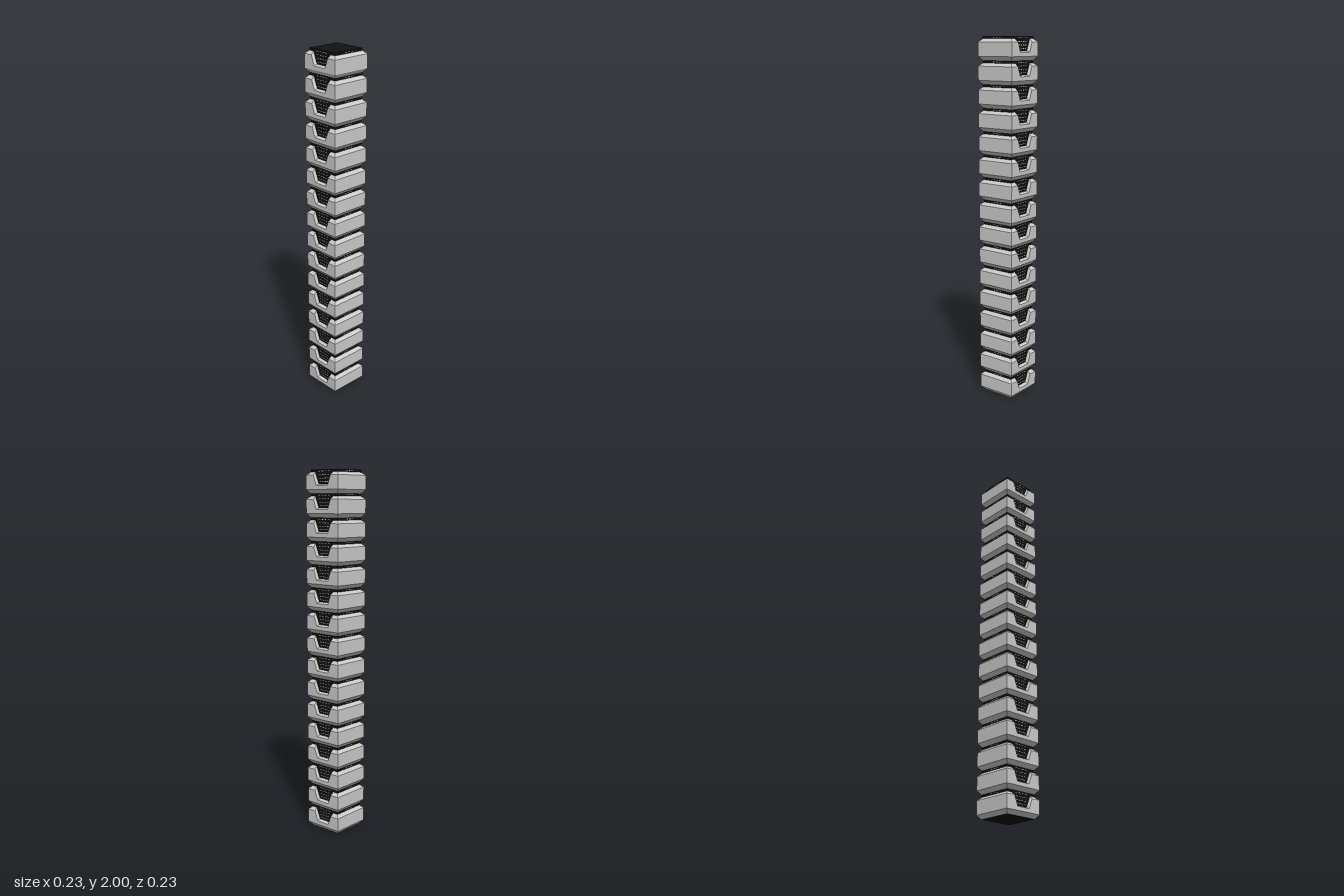
import * as THREE from 'three';

const FLOORS = 16, PITCH = 0.125;
const OUT = 0.113, IN = 0.095;                      // half widths of collar and core
const Y0 = 0, Y1 = 0.022, Y2 = 0.096, Y3 = 0.112;   // heights of the collar bevels

const grey = new THREE.MeshStandardMaterial({ color: 0xcccccc, flatShading: true });
const dark = new THREE.MeshStandardMaterial({ color: 0x111111 });

// Four corners, counter-clockwise from outside, as two triangles
const quad = (a, b, c, d) => [a, b, c, a, c, d];
const turn = (pts, angle) => pts.map(([x, y, z]) => {
  const c = Math.cos(angle), s = Math.sin(angle);
  return [x * c + z * s, y, z * c - x * s];
});
const mirror = (pts) => pts.map(([x, y, z]) => [-x, y, z]).reverse();

// Bevelled square collar with a tapered notch in the front and back
function collarGeometry() {
  const bottomBevel = quad([-IN, Y0, IN], [IN, Y0, IN], [OUT, Y1, OUT], [-OUT, Y1, OUT]);
  const plainSide = [
    ...bottomBevel,
    ...quad([-OUT, Y1, OUT], [OUT, Y1, OUT], [OUT, Y2, OUT], [-OUT, Y2, OUT]),
    ...quad([-OUT, Y2, OUT], [OUT, Y2, OUT], [IN, Y3, IN], [-IN, Y3, IN]),
  ];
  // Notch corners: low and high, on the outer face and at the core
  const lowOut = [0.04, 0.043, OUT], lowIn = [0.038, 0.05, IN];
  const highOut = [0.06, Y2, OUT], highIn = [0.063, Y3, IN];
  const flip = ([x, y, z]) => [-x, y, z];
  const half = [
    ...quad([OUT, Y1, OUT], [OUT, Y2, OUT], highOut, lowOut),
    ...quad(highOut, [OUT, Y2, OUT], [IN, Y3, IN], highIn),
    ...quad(lowOut, highOut, highIn, lowIn),
  ];
  const notchedSide = [
    ...bottomBevel, ...half, ...mirror(half),
    ...quad([-OUT, Y1, OUT], [OUT, Y1, OUT], lowOut, flip(lowOut)),
    ...quad(flip(lowOut), lowOut, lowIn, flip(lowIn)),
  ];
  const points = [
    ...notchedSide, ...turn(notchedSide, Math.PI),
    ...turn(plainSide, Math.PI / 2), ...turn(plainSide, -Math.PI / 2),
  ];
  const geometry = new THREE.BufferGeometry();
  geometry.setAttribute('position', new THREE.Float32BufferAttribute(points.flat(), 3));
  geometry.computeVertexNormals();
  return geometry;
}

export function createModel() {
  const tower = new THREE.Group();
  tower.name = 'tower';

  // Dark glazed core
  const core = new THREE.Mesh(new THREE.BoxGeometry(IN * 2, 2, IN * 2), dark);
  core.name = 'core';
  core.position.y = 1;
  tower.add(core);

  const collarShape = collarGeometry();
  const paneShape = new THREE.BoxGeometry(0.011, 0.003, 0.002);

  for (let i = 0; i < FLOORS; i++) {
    const floor = new THREE.Group();
    floor.name = `floor${i + 1}`;
    floor.position.y = i * PITCH;
    tower.add(floor);

    const collar = new THREE.Mesh(collarShape, grey);
    collar.name = 'collar';
    floor.add(collar);

    // Rows of small light panes in the notches
    for (const side of [1, -1]) {
      for (let row = 0; row < 4; row++) {
        for (let col = 0; col < 4; col++) {
          const pane = new THREE.Mesh(paneShape, grey);
          pane.name = 'windowPane';
          pane.position.set((col - 1.5) * (0.016 + row * 0.002), 0.062 + row * 0.018, side * IN);
          floor.add(pane);
        }
      }
      // Panes in the gap above the plain sides
      for (const z of [-0.02, 0, 0.02]) {
        const pane = new THREE.Mesh(paneShape, grey);
        pane.name = 'sidePane';
        pane.rotation.y = Math.PI / 2;
        pane.position.set(side * IN, 0.1185, z);
        floor.add(pane);
      }
    }
  }
  return tower;
}
